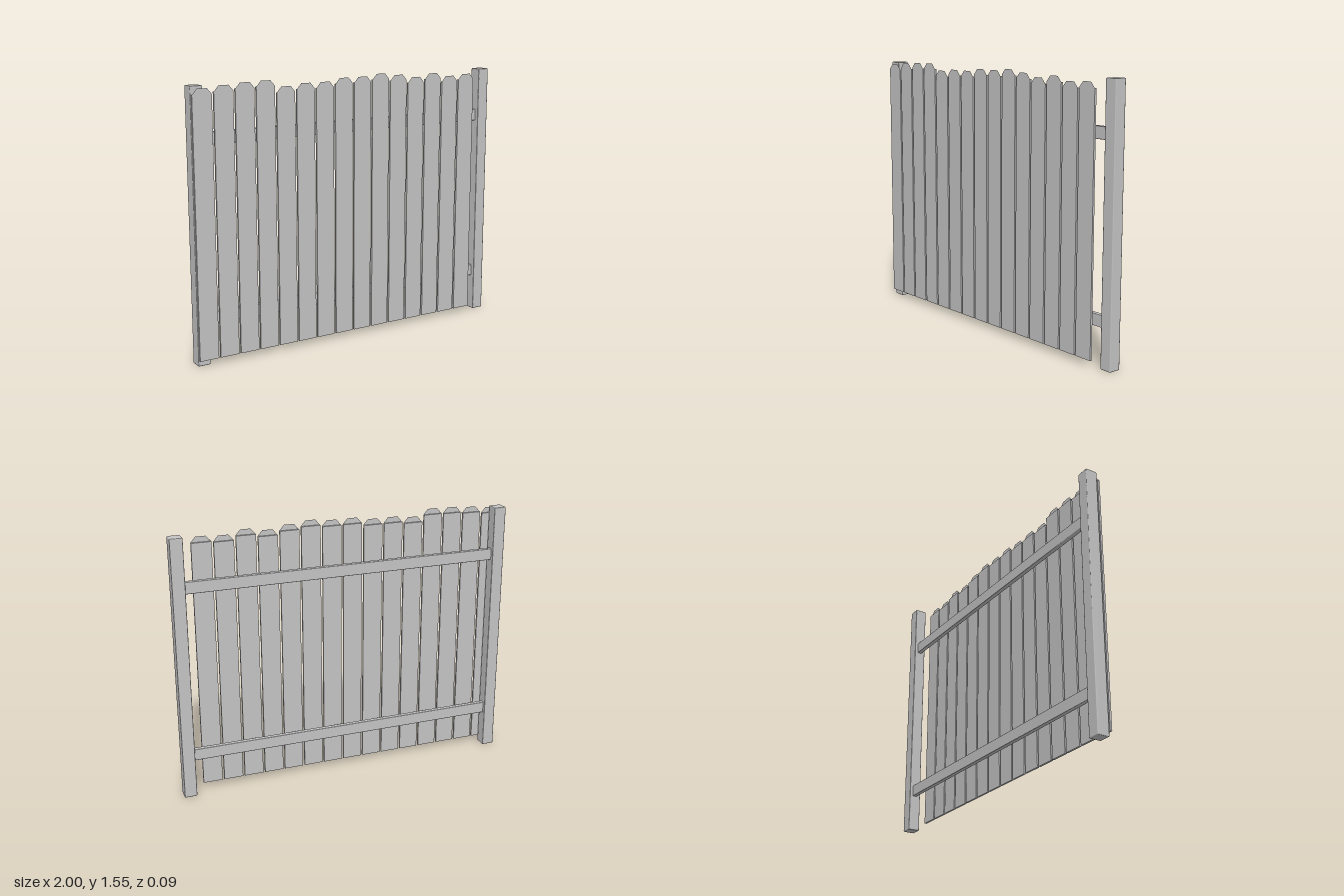
import * as THREE from 'three';
import { RoundedBoxGeometry } from 'three/addons/geometries/RoundedBoxGeometry.js';

export function createModel() {
  const fence = new THREE.Group();
  fence.name = 'fencePanel';
  const wood = new THREE.MeshStandardMaterial({ color: 0xc4c4c4 });
  wood.name = 'greyWood';
  const earWood = wood.clone(); // same colour, for the open plank tips
  earWood.side = THREE.DoubleSide;

  const add = (name, geometry, x, y, z, material = wood, parent = fence) => {
    const mesh = new THREE.Mesh(geometry, material);
    mesh.name = name;
    mesh.position.set(x, y, z);
    parent.add(mesh);
    return mesh;
  };

  // Posts, with slightly eased edges
  const postGeo = new RoundedBoxGeometry(0.073, 1.54, 0.072, 1, 0.005);
  add('leftPost', postGeo, 0.9635, 0.77, -0.009);
  add('rightPost', postGeo, -0.9635, 0.77, -0.009);

  // Rails between the posts
  const railGeo = new RoundedBoxGeometry(1.86, 0.069, 0.028, 1, 0.004);
  add('lowerRail', railGeo, 0, 0.253, -0.011);
  add('upperRail', railGeo, 0, 1.254, -0.011);

  // Planks of uneven height, each with a thin clipped tip at its front face
  const tops = [1.526, 1.537, 1.545, 1.548, 1.51, 1.521, 1.521, 1.537,
    1.537, 1.548, 1.535, 1.516, 1.532, 1.51, 1.516];
  const width = 0.114, pitch = 0.1252, bottom = 0.034, earHeight = 0.032, inset = 0.028;
  const w = width / 2;
  const earGeo = new THREE.ShapeGeometry(new THREE.Shape([
    new THREE.Vector2(-w, 0), new THREE.Vector2(w, 0),
    new THREE.Vector2(w - inset, earHeight), new THREE.Vector2(-w + inset, earHeight),
  ]));
  tops.forEach((top, i) => {
    const plank = new THREE.Group();
    plank.name = `plank${i + 1}`;
    plank.position.x = -0.998 + w + i * pitch;
    fence.add(plank);
    const height = top - earHeight - bottom;
    add('plankBoard', new THREE.BoxGeometry(width, height, 0.012),
      0, bottom + height / 2, 0.039, wood, plank);
    add('plankTip', earGeo, 0, top - earHeight, 0.045, earWood, plank);
  });

  return fence;
}
